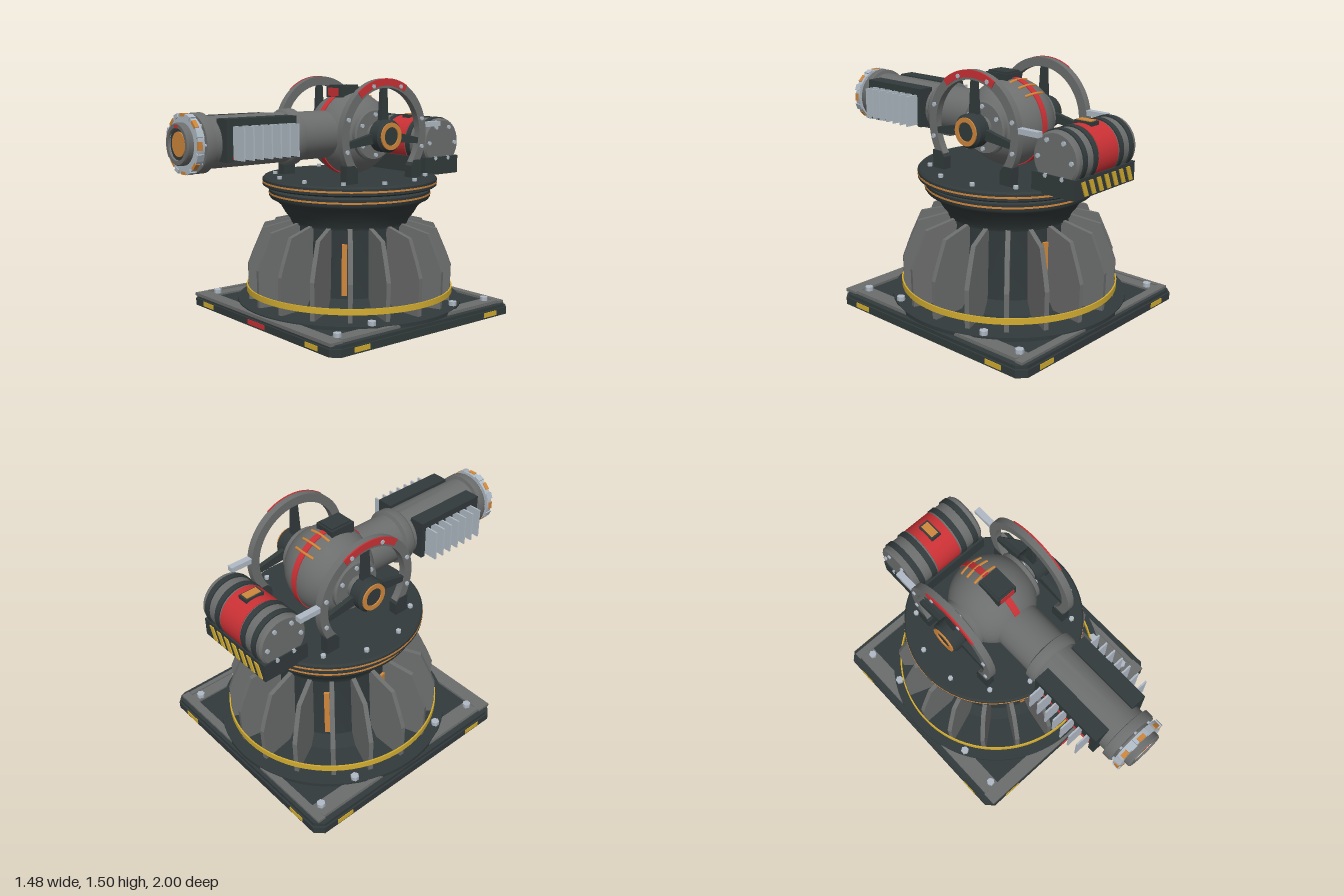
import * as THREE from 'three';
import { toCreasedNormals } from 'three/addons/utils/BufferGeometryUtils.js';

const mat = (name, color) => Object.assign(new THREE.MeshStandardMaterial({ color }), { name });
const grey = mat('steel grey', 0x6c6d6d), dark = mat('dark gunmetal', 0x323a3b), light = mat('light steel', 0xb0bac5),
  red = mat('signal red', 0xcb3135), orange = mat('amber', 0xcf873c), yellow = mat('hazard yellow', 0xd2ac30);

const CZ = -0.26, AXIS = 1.15, TAU = Math.PI * 2;
const rad = THREE.MathUtils.degToRad;

function add(parent, name, geo, material, x = 0, y = 0, z = 0) {
  const m = new THREE.Mesh(geo, material);
  m.name = name;
  m.position.set(x, y, z);
  parent.add(m);
  return m;
}
const group = (parent, name, x = 0, y = 0, z = 0) => {
  const g = new THREE.Group();
  g.name = name;
  g.position.set(x, y, z);
  parent.add(g);
  return g;
};
// box given by its limits
const box = (parent, name, material, x0, x1, y0, y1, z0, z1) =>
  add(parent, name, new THREE.BoxGeometry(x1 - x0, y1 - y0, z1 - z0), material, (x0 + x1) / 2, (y0 + y1) / 2, (z0 + z1) / 2);
// turned part: [radius, height] pairs, axis 'x', 'y' or 'z'
function turned(points, axis = 'y', seg = 48) {
  const g = toCreasedNormals(new THREE.LatheGeometry(points.map(p => new THREE.Vector2(...p)), seg), 0.6);
  if (axis === 'x') g.rotateZ(-Math.PI / 2);
  if (axis === 'z') g.rotateX(Math.PI / 2);
  return g;
}
const disc = (r, a, b) => [[0, a], [r, a], [r, b], [0, b]];
const hoop = (ri, ro, a, b) => [[ri, a], [ro, a], [ro, b], [ri, b], [ri, a]];
function poly(points, depth) {
  const g = new THREE.ExtrudeGeometry(new THREE.Shape(points.map(p => new THREE.Vector2(...p))), { depth, bevelEnabled: false });
  return g.translate(0, 0, -depth / 2);
}
// flat arc band in the yz plane, angle measured from the back (-z) upwards
function arcBand(ri, ro, a0, a1, width) {
  const s = new THREE.Shape();
  s.absarc(0, 0, ro, rad(a0), rad(a1), false);
  s.absarc(0, 0, ri, rad(a1), rad(a0), true);
  const g = new THREE.ExtrudeGeometry(s, { depth: width, bevelEnabled: false, curveSegments: 40 });
  return toCreasedNormals(g.translate(0, 0, -width / 2).rotateY(Math.PI / 2), 0.5);
}
const boltGeo = new THREE.CylinderGeometry(0.016, 0.016, 0.022, 6);
const boltX = new THREE.CylinderGeometry(0.014, 0.014, 0.014, 6).rotateZ(Math.PI / 2);
const bigBolt = new THREE.CylinderGeometry(0.026, 0.026, 0.03, 6);

function buildBase(root) {
  const base = group(root, 'base', 0, 0, CZ);
  // chamfered foot plate
  const h = 0.738, c = 0.69;
  const outline = [[-c, -h], [c, -h], [h, -c], [h, c], [c, h], [-c, h], [-h, c], [-h, -c]];
  add(base, 'footPlate', poly(outline, 0.045).rotateX(-Math.PI / 2), dark, 0, 0.0225, 0);
  add(base, 'footPlateTop', poly(outline.map(p => [p[0] * 0.985, p[1] * 0.985]), 0.02).rotateX(-Math.PI / 2), dark, 0, 0.055, 0);
  // rails: front and back across the full width, side rails between them
  box(base, 'frontRail', grey, -0.7, 0.7, 0.06, 0.08, 0.645, 0.735);
  box(base, 'backRail', grey, -0.7, 0.7, 0.06, 0.08, -0.705, -0.655);
  for (const s of [-1, 1]) {
    box(base, 'sideRail', grey, s * 0.637 - 0.055, s * 0.637 + 0.055, 0.06, 0.076, -0.655, 0.645);
    box(base, 'sideRailLip', grey, s * 0.675 - 0.015, s * 0.675 + 0.015, 0.076, 0.084, -0.655, 0.645);
  }
  // edge markings and bolts
  for (let i = 0; i < 4; i++) {
    const side = group(base, 'edge');
    side.rotation.y = i * Math.PI / 2;
    for (const s of [-1, 1])
      box(side, 'edgeMark', yellow, s * 0.535 - 0.057, s * 0.535 + 0.057, 0.01, 0.04, 0.734, 0.742);
    if (i === 0) box(side, 'frontMark', red, -0.088, 0.088, 0.01, 0.04, 0.734, 0.742);
    add(side, 'cornerBolt', bigBolt, light, 0.615, 0.085, 0.615);
    add(side, 'footBolt', new THREE.CylinderGeometry(0.024, 0.024, 0.006, 12), grey, 0.46, 0.001, 0.46);
  }
  for (const x of [-0.6, 0.6]) for (const z of [-0.34, 0.34])
    add(base, 'baseBolt', bigBolt, light, x, 0.098, z);
  add(base, 'baseDisc', turned(disc(0.72, 0.05, 0.087), 'y', 64), dark);
  add(base, 'undersideRing', turned(hoop(0.2, 0.27, -0.001, 0.005)), orange);
  add(base, 'undersideHub', turned(disc(0.09, -0.002, 0.005)), light);

  // core with radial fins
  add(base, 'core', turned([[0.44, 0.08], [0.38, 0.16], [0.365, 0.56], [0.37, 0.61], [0, 0.61]]), dark);
  const fin = poly([[0.34, 0.08], [0.65, 0.08], [0.655, 0.32], [0.625, 0.4], [0.56, 0.55], [0.36, 0.6]], 0.028);
  for (let i = 0; i < 18; i++) add(base, 'fin', fin, grey).rotation.y = rad(i * 20);
  add(base, 'hazardBand', turned(hoop(0.655, 0.664, 0.14, 0.177), 'y', 72), yellow);
  for (let i = 0; i < 6; i++) {
    const g = group(base, 'coreLight');
    g.rotation.y = rad(45 + i * 60);
    box(g, 'lightStrip', orange, -0.016, 0.016, 0.18, 0.5, 0.35, 0.383);
  }

  // bowl and turntable
  add(base, 'bowl', turned([[0, 0.585], [0.375, 0.585], [0.38, 0.605], [0.415, 0.65], [0.44, 0.695], [0.47, 0.722],
    [0.505, 0.74], [0.515, 0.755], [0.515, 0.795], [0.5, 0.805], [0.47, 0.81], [0.47, 0.815], [0.54, 0.815],
    [0.555, 0.825], [0.555, 0.865], [0.545, 0.876], [0, 0.876]], 'y', 72), dark);
  add(base, 'lowerTrim', turned(hoop(0.5, 0.517, 0.768, 0.779), 'y', 72), orange);
  add(base, 'upperTrim', turned(hoop(0.54, 0.557, 0.84, 0.851), 'y', 72), orange);
  for (let i = 0; i < 12; i++) {
    const a = rad(15 + i * 30);
    add(base, 'turntableBolt', boltGeo, light, 0.48 * Math.sin(a), 0.883, 0.48 * Math.cos(a));
  }
}

function buildYoke(root, s) {
  // s = +1 left, -1 right
  const yoke = group(root, s > 0 ? 'leftYoke' : 'rightYoke', s * 0.31, AXIS, CZ);
  add(yoke, 'yokeRing', arcBand(0.29, 0.345, -38, 218, 0.045), grey);
  add(yoke, 'yokeRedArc', arcBand(0.303, 0.347, 60, 130, 0.009), red, s * 0.022, 0, 0);
  for (const a of [-15, 17, 68, 109, 160, 195])
    add(yoke, 'yokeBolt', boltX, light, s * 0.026, 0.318 * Math.sin(rad(a)), -0.318 * Math.cos(rad(a)));
  // tapered spokes
  for (const a of [90, -9, 189]) {
    const spoke = add(yoke, 'spoke', poly([[0.06, -0.033], [0.3, -0.018], [0.3, 0.018], [0.06, 0.033]], 0.03).rotateY(Math.PI / 2), dark);
    spoke.rotation.x = rad(a);
  }
  // feet
  for (const z of [-0.262, 0.268])
    add(yoke, 'yokeFoot', poly([[-0.045, -0.28], [0.045, -0.28], [0.045, -0.2], [0.02, -0.165], [-0.045, -0.165]], 0.056)
      .rotateY(z > 0 ? Math.PI / 2 : -Math.PI / 2), dark, 0, 0, z);
  // hub and trunnion
  const hub = group(yoke, 'hub');
  hub.rotation.y = s > 0 ? 0 : Math.PI;
  add(hub, 'hubBody', turned([[0, -0.03], [0.085, -0.03], [0.1, -0.015], [0.1, 0.055], [0.085, 0.07], [0, 0.07]], 'x', 32), dark);
  add(hub, 'hubRing', turned(hoop(0.056, 0.083, 0.06, 0.078), 'x', 32), orange);
  add(hub, 'trunnion', turned(disc(0.07, -0.12, -0.03), 'x', 24), grey);
  add(hub, 'ballCap', turned([[0, -0.11], [0.16, -0.11], [0.16, -0.078], [0.15, -0.07], [0, -0.07]], 'x', 32), grey);
  for (let i = 0; i < 6; i++)
    add(hub, 'capBolt', boltX, light, -0.066, 0.125 * Math.sin(i * TAU / 6 + 0.5), 0.125 * Math.cos(i * TAU / 6 + 0.5));
  // link to the rear drum
  box(yoke, 'drumLink', light, -0.02, 0.02, 0.035, 0.067, -0.48, -0.32);
}

function buildBall(root) {
  const ball = group(root, 'ballHousing', 0, AXIS, CZ);
  const profile = [[0, -0.23]];
  for (let i = 0; i <= 20; i++) {
    const x = -0.23 + 0.46 * i / 20;
    profile.push([Math.sqrt(0.262 ** 2 - x * x), x]);
  }
  profile.push([0, 0.23]);
  add(ball, 'ball', turned(profile, 'x', 48), grey);
  add(ball, 'ballStripe', turned(hoop(0.25, 0.267, -0.02, 0.02), 'x', 64), red);
  // curved vent bars on the upper back
  const vent = new THREE.TorusGeometry(0.261, 0.009, 8, 16, rad(34)).rotateZ(rad(73));
  for (const a of [46, 61, 77]) add(ball, 'ventBar', vent, orange).rotation.x = rad(a - 90);
  // sensor box
  box(ball, 'sensorBox', dark, -0.068, 0.068, 0.225, 0.29, -0.03, 0.135);
  box(ball, 'sensorBoxLid', dark, -0.055, 0.055, 0.29, 0.3, -0.02, 0.125);
  box(ball, 'sensorWindow', red, -0.05, 0.05, 0.233, 0.283, 0.13, 0.139);
}

function buildBarrel(root) {
  const barrel = group(root, 'barrel', 0, AXIS, 0);
  add(barrel, 'barrelTube', turned([[0, -0.2], [0.147, -0.2], [0.147, 0.205], [0.17, 0.215], [0.17, 0.265], [0.16, 0.28],
    [0.15, 0.285], [0.15, 0.84], [0.172, 0.845], [0.172, 0.89], [0.165, 0.902], [0.125, 0.904], [0.125, 0.93], [0, 0.93]], 'z'), grey);
  // muzzle bezel and lens
  add(barrel, 'bezel', turned(hoop(0.118, 0.168, 0.92, 0.96), 'z'), light);
  add(barrel, 'muzzle', turned([[0.088, 0.93], [0.12, 0.93], [0.12, 0.992], [0.114, 1], [0.092, 1], [0.088, 0.99]], 'z'), grey);
  add(barrel, 'lensSeat', turned(disc(0.1, 0.93, 0.98), 'z'), dark);
  add(barrel, 'lens', turned(disc(0.07, 0.97, 0.988), 'z'), orange);
  for (let i = 0; i < 8; i++) {
    const g = group(barrel, 'bezelSegment');
    g.rotation.z = i * TAU / 8;
    box(g, 'bezelLight', orange, -0.024, 0.024, 0.153, 0.171, 0.936, 0.962);
    const clamp = group(g, 'clampMount');
    clamp.rotation.z = TAU / 16;
    box(clamp, 'bezelClamp', light, -0.02, 0.02, 0.15, 0.174, 0.922, 0.966);
    add(g, 'flangeBolt', new THREE.CylinderGeometry(0.01, 0.01, 0.02, 6).rotateX(Math.PI / 2), light, 0, 0.15, 0.904);
  }
  box(barrel, 'muzzleMark', red, -0.018, 0.018, 0.09, 0.108, 0.993, 1.001);
  // cooling packs on both sides
  for (const s of [-1, 1]) {
    const pack = group(barrel, s > 0 ? 'leftCooler' : 'rightCooler');
    const side = (name, m, x0, x1, y0, y1, z0, z1) => box(pack, name, m, s > 0 ? x0 : -x1, s > 0 ? x1 : -x0, y0, y1, z0, z1);
    side('coolerTop', dark, 0.09, 0.19, 0.1, 0.14, 0.31, 0.795);
    side('coolerBack', dark, 0.1, 0.165, -0.1, 0.1, 0.31, 0.795);
    side('coolerFrontEnd', dark, 0.1, 0.19, -0.1, 0.1, 0.755, 0.795);
    side('coolerRearEnd', dark, 0.1, 0.19, -0.1, 0.1, 0.31, 0.34);
    side('coolerGlow', red, 0.155, 0.172, -0.09, -0.079, 0.345, 0.75);
    for (let i = 0; i < 7; i++) {
      const z = 0.355 + i * 0.0625;
      side('coolingFin', light, 0.15, 0.27, -0.09, 0.1, z - 0.005, z + 0.005);
    }
  }
}

function buildDrum(root) {
  const drum = group(root, 'rearDrum', 0, 1.07, -0.815);
  add(drum, 'drumBody', turned([[0, -0.272], [0.145, -0.272], [0.157, -0.26], [0.157, 0.26], [0.145, 0.272], [0, 0.272]], 'x'), grey);
  add(drum, 'drumRedBand', turned(hoop(0.15, 0.161, -0.09, 0.09), 'x'), red);
  for (const s of [-1, 1]) {
    for (const x of [0.12, 0.215])
      add(drum, 'drumBand', turned(hoop(0.15, 0.165, s * x - 0.018, s * x + 0.018), 'x'), dark);
    for (let i = 0; i < 6; i++)
      add(drum, 'drumBolt', boltX, light, s * 0.276, 0.115 * Math.cos(i * TAU / 6 + 0.5), 0.115 * Math.sin(i * TAU / 6 + 0.5));
  }
  box(drum, 'indicatorFrame', dark, -0.035, 0.035, 0.13, 0.172, -0.06, 0.06);
  box(drum, 'indicator', orange, -0.025, 0.025, 0.168, 0.177, -0.048, 0.048);
  // carrying tray with hazard stripes on the back
  box(drum, 'tray', dark, -0.28, 0.28, -0.205, -0.09, -0.145, 0.155);
  for (let i = 0; i < 7; i++) {
    const x = -0.24 + i * 0.07;
    add(drum, 'hazardStripe', poly([[x - 0.02, -0.195], [x + 0.015, -0.195], [x + 0.05, -0.11], [x + 0.015, -0.11]], 0.006), yellow, 0, 0, -0.148);
  }
}

export function createModel() {
  const root = new THREE.Group();
  root.name = 'turret';
  buildBase(root);
  buildYoke(root, 1);
  buildYoke(root, -1);
  buildBall(root);
  buildBarrel(root);
  buildDrum(root);
  return root;
}
